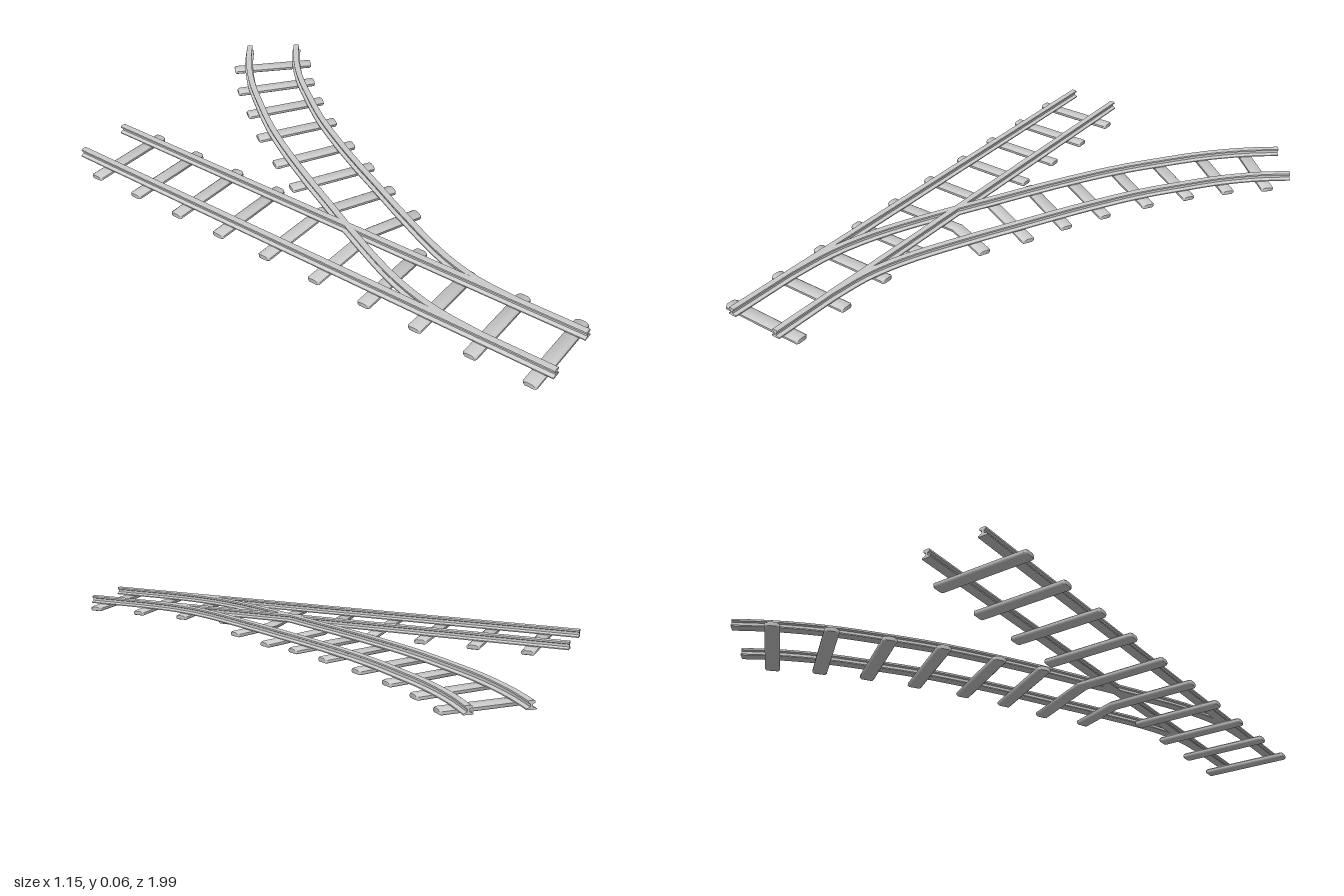
import * as THREE from 'three';
import { toCreasedNormals } from 'three/addons/utils/BufferGeometryUtils.js';

const GAUGE = 0.098; // half distance between rails
const material = new THREE.MeshStandardMaterial({ color: 0xcccccc });

// Sweeps a closed section (u sideways, v up) along points in the ground plane.
// scale(i, last) shrinks the ring at a point, used to round off ends.
function sweep(section, path, crease, scale = () => 1) {
  const n = section.length, last = path.length - 1, pos = [], index = [];
  path.forEach((p, i) => {
    const a = path[Math.max(i - 1, 0)], b = path[Math.min(i + 1, last)];
    const d = new THREE.Vector3(b.x - a.x, 0, b.z - a.z).normalize();
    const s = scale(i, last);
    for (const [u, v] of section) pos.push(p.x - d.z * u * s, p.y + v * s, p.z + d.x * u * s);
  });
  for (let i = 0; i < last; i++) {
    for (let k = 0; k < n; k++) {
      const a = i * n + k, b = i * n + (k + 1) % n;
      index.push(a, a + n, b + n, a, b + n, b);
    }
  }
  const caps = THREE.ShapeUtils.triangulateShape(section.map(([u, v]) => new THREE.Vector2(u, v)), []);
  for (const [a, b, c] of caps) index.push(a, b, c, last * n + a, last * n + c, last * n + b);
  const g = new THREE.BufferGeometry();
  g.setAttribute('position', new THREE.Float32BufferAttribute(pos, 3));
  g.setIndex(index);
  return toCreasedNormals(g, crease);
}

// Rail: wide foot, thin web, narrower head
const half = [[0.016, 0], [0.016, 0.004], [0.004, 0.009], [0.004, 0.018], [0.011, 0.021], [0.011, 0.027], [0.008, 0.029]];
const railSection = [...half, ...half.map(([u, v]) => [-u, v]).reverse()];

// Sleeper: flattened beam with rounded edges
const tieSection = [
  [-0.019, -0.0095], [0.019, -0.0095], [0.024, -0.005], [0.024, 0.003], [0.015, 0.0095],
  [-0.015, 0.0095], [-0.024, 0.003], [-0.024, -0.005],
];
const TIE_Y = 0.0165, RAIL_Y = 0.028;

export function createModel() {
  const model = new THREE.Group();
  const add = (parent, name, geometry) => {
    const mesh = new THREE.Mesh(geometry, material);
    mesh.name = name;
    parent.add(mesh);
  };
  const group = (name) => {
    const g = new THREE.Group();
    g.name = name;
    model.add(g);
    return g;
  };
  const straightRails = group('straightRails'), curvedRails = group('curvedRails');
  const straightTies = group('straightSleepers'), curvedTies = group('curvedSleepers');

  // A sleeper through [x, z, drop] corners with slightly tapered ends
  const tie = (parent, name, corners) => {
    const pts = corners.map(([x, z, drop = 0]) => new THREE.Vector3(x, TIE_Y - drop, z));
    const m = pts.length - 1;
    const inset = (a, b) => a.clone().add(b.clone().sub(a).setLength(0.006));
    const path = [pts[0], inset(pts[0], pts[1]), ...pts.slice(1, m), inset(pts[m], pts[m - 1]), pts[m]];
    add(parent, name, sweep(tieSection, path, 0.9, (i, last) => (i === 0 || i === last ? 0.75 : 1)));
  };

  // Straight track
  for (const side of [-1, 1]) {
    const x = -0.415 + side * GAUGE;
    add(straightRails, 'straightRail', sweep(railSection,
      [new THREE.Vector3(x, RAIL_Y, 0.997), new THREE.Vector3(x, RAIL_Y, -0.956)], 0.5));
  }
  const bends = { 4: [-0.012, 0.078, 0.007], 5: [-0.087, 0.234, 0.001] }; // sleepers shared by both tracks
  [-0.824, -0.629, -0.433, -0.242, -0.041, 0.165, 0.361, 0.551, 0.747, 0.948].forEach((z, i) => {
    if (bends[i]) tie(straightTies, 'sharedSleeper', [[-0.58, z], [-0.265, z, bends[i][2] / 2], bends[i]]);
    else tie(straightTies, 'straightSleeper', [[-0.58, z], [-0.252, z]]);
  });

  // Branch track: both rails are offset from one centre line
  const centre = new THREE.CatmullRomCurve3([
    [-0.415, 0.747], [-0.4, 0.583], [-0.352, 0.414], [-0.241, 0.17], [-0.161, 0.012], [-0.085, -0.139],
    [-0.008, -0.282], [0.087, -0.441], [0.188, -0.581], [0.294, -0.716], [0.413, -0.835], [0.503, -0.906],
  ].map(([x, z]) => new THREE.Vector3(x, RAIL_Y, z)));
  const steps = 36;
  for (const side of [-1, 1]) {
    const path = [];
    for (let i = 0; i <= steps; i++) {
      const p = centre.getPointAt(i / steps), t = centre.getTangentAt(i / steps);
      path.push(new THREE.Vector3(p.x - t.z * side * GAUGE, RAIL_Y, p.z + t.x * side * GAUGE));
    }
    add(curvedRails, 'curvedRail', sweep(railSection, path, 0.5));
  }
  const ends = [
    [0.3, -0.945, 0.526, -0.724], [0.172, -0.814, 0.415, -0.618], [0.061, -0.666, 0.315, -0.496],
    [-0.045, -0.523, 0.22, -0.359], [-0.145, -0.359, 0.13, -0.205], [-0.225, -0.216, 0.056, -0.062],
  ];
  for (const [x0, z0, x1, z1] of ends) tie(curvedTies, 'curvedSleeper', [[x0, z0], [x1, z1]]);

  return model;
}
